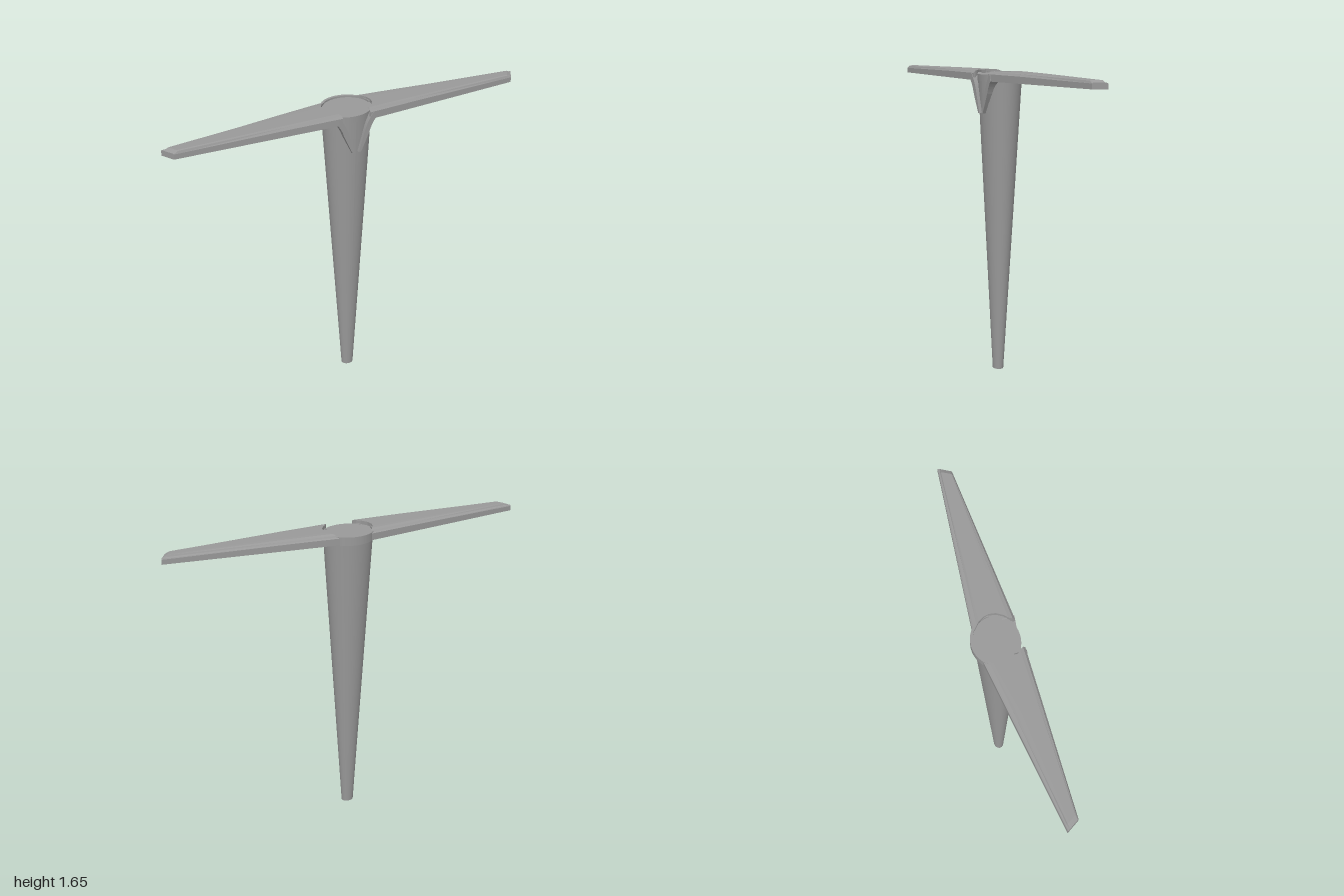
import * as THREE from 'three';

const grey = new THREE.MeshStandardMaterial({ color: 0x999999 });

function part(name, geometry) {
  const mesh = new THREE.Mesh(geometry, grey);
  mesh.name = name;
  return mesh;
}

// Tapered oval stem, its foot slightly forward of its head
function stemGeometry() {
  const h = 1.605;
  const g = new THREE.CylinderGeometry(1, 0.25, h, 48, 1);
  g.translate(0, h / 2, 0);
  const p = g.attributes.position;
  for (let i = 0; i < p.count; i++) {
    const drop = 1 - p.getY(i) / h;
    p.setXYZ(i, p.getX(i) * 0.133, p.getY(i), p.getZ(i) * 0.112 + 0.012 * drop);
  }
  g.computeVertexNormals();
  return g;
}

// Arm columns from back to front: z at root, z at tip, top height at root
const columns = [
  [-0.108, 0.01, 1.638], [-0.1, 0.013, 1.643], [-0.08, 0.018, 1.646], [-0.066, 0.022, 1.654],
  [-0.035, 0.03, 1.655], [0, 0.04, 1.655], [0.035, 0.05, 1.655], [0.07, 0.06, 1.655],
  [0.09, 0.066, 1.655], [0.11, 0.071, 1.652], [0.122, 0.076, 1.64],
];

// Arm: ruled from a concave root that hugs the hub to a slanted, bevelled tip
function armGeometry(side) {
  const stations = [0, 0.3, 0.97, 1];
  const last = stations.length - 1;
  const rows = stations.map((t, s) => columns.map(([zr, zt, yr]) => {
    const root = Math.max(0.078, 0.136 * Math.sqrt(Math.max(0, 1 - (zr / 0.118) ** 2)));
    const tip = 1 - 0.04 * (zt - 0.01) / 0.066;
    const x = THREE.MathUtils.lerp(root, tip, t);
    const z = THREE.MathUtils.lerp(zr, zt, x / tip);
    let top = yr - 0.009 * Math.max(0, t - 0.25);
    if (s === last) top = Math.min(top, 1.637);
    return { top: [side * x, top, z], bottom: [side * x, 1.602 + 0.004 * t, z] };
  }));

  const pos = [];
  const quad = (a, b, c, d) => {
    const q = side > 0 ? [a, b, c, a, c, d] : [a, c, b, a, d, c];
    q.forEach((v) => pos.push(...v));
  };
  const n = columns.length - 1;
  for (let s = 0; s < last; s++) {
    const A = rows[s], B = rows[s + 1];
    for (let i = 0; i < n; i++) {
      quad(A[i].top, A[i + 1].top, B[i + 1].top, B[i].top);
      quad(A[i].bottom, B[i].bottom, B[i + 1].bottom, A[i + 1].bottom);
    }
    quad(A[n].bottom, B[n].bottom, B[n].top, A[n].top);
    quad(A[0].bottom, A[0].top, B[0].top, B[0].bottom);
  }
  for (let i = 0; i < n; i++) {
    const R = rows[0], T = rows[last];
    quad(R[i].bottom, R[i + 1].bottom, R[i + 1].top, R[i].top);
    quad(T[i].bottom, T[i].top, T[i + 1].top, T[i + 1].bottom);
  }
  const g = new THREE.BufferGeometry();
  g.setAttribute('position', new THREE.Float32BufferAttribute(pos, 3));
  g.computeVertexNormals();
  return g;
}

// Curved prong that sweeps from the arm's front edge down the stem
function prongGeometry(side) {
  const s = new THREE.Shape();
  s.moveTo(side * 0.098, 1.642);
  s.quadraticCurveTo(side * 0.062, 1.6, side * 0.044, 1.54);
  s.lineTo(side * 0.012, 1.43);
  s.lineTo(side * 0.024, 1.43);
  s.quadraticCurveTo(side * 0.05, 1.485, side * 0.072, 1.535);
  s.quadraticCurveTo(side * 0.084, 1.575, side * 0.106, 1.603);
  s.closePath();
  const g = new THREE.ExtrudeGeometry(s, { depth: 0.063, bevelEnabled: false, curveSegments: 8 });
  g.translate(0, 0, 0.058);
  return g;
}

// Raised rim around the back half of the hub
function rimGeometry() {
  const s = new THREE.Shape();
  s.absellipse(0, 0, 0.137, 0.13, 0, Math.PI, false, 0);
  s.lineTo(-0.128, 0);
  s.absellipse(0, 0, 0.128, 0.115, Math.PI, 0, true, 0);
  s.closePath();
  const g = new THREE.ExtrudeGeometry(s, { depth: 0.045, bevelEnabled: false, curveSegments: 24 });
  g.rotateX(-Math.PI / 2);
  g.translate(0, 1.6, 0);
  return g;
}

export function createModel() {
  const model = new THREE.Group();
  model.name = 'taperedPeg';
  model.add(part('stem', stemGeometry()));

  // Oval hub with a flat recessed top
  const hub = new THREE.CylinderGeometry(1, 0.985, 0.036, 48);
  hub.scale(0.136, 1, 0.116);
  hub.translate(0, 1.618, 0);
  model.add(part('hub', hub));

  model.add(part('backRim', rimGeometry()));

  for (const [label, side] of [['left', 1], ['right', -1]]) {
    model.add(part(label + 'Arm', armGeometry(side)));
    model.add(part(label + 'Prong', prongGeometry(side)));
  }
  return model;
}
